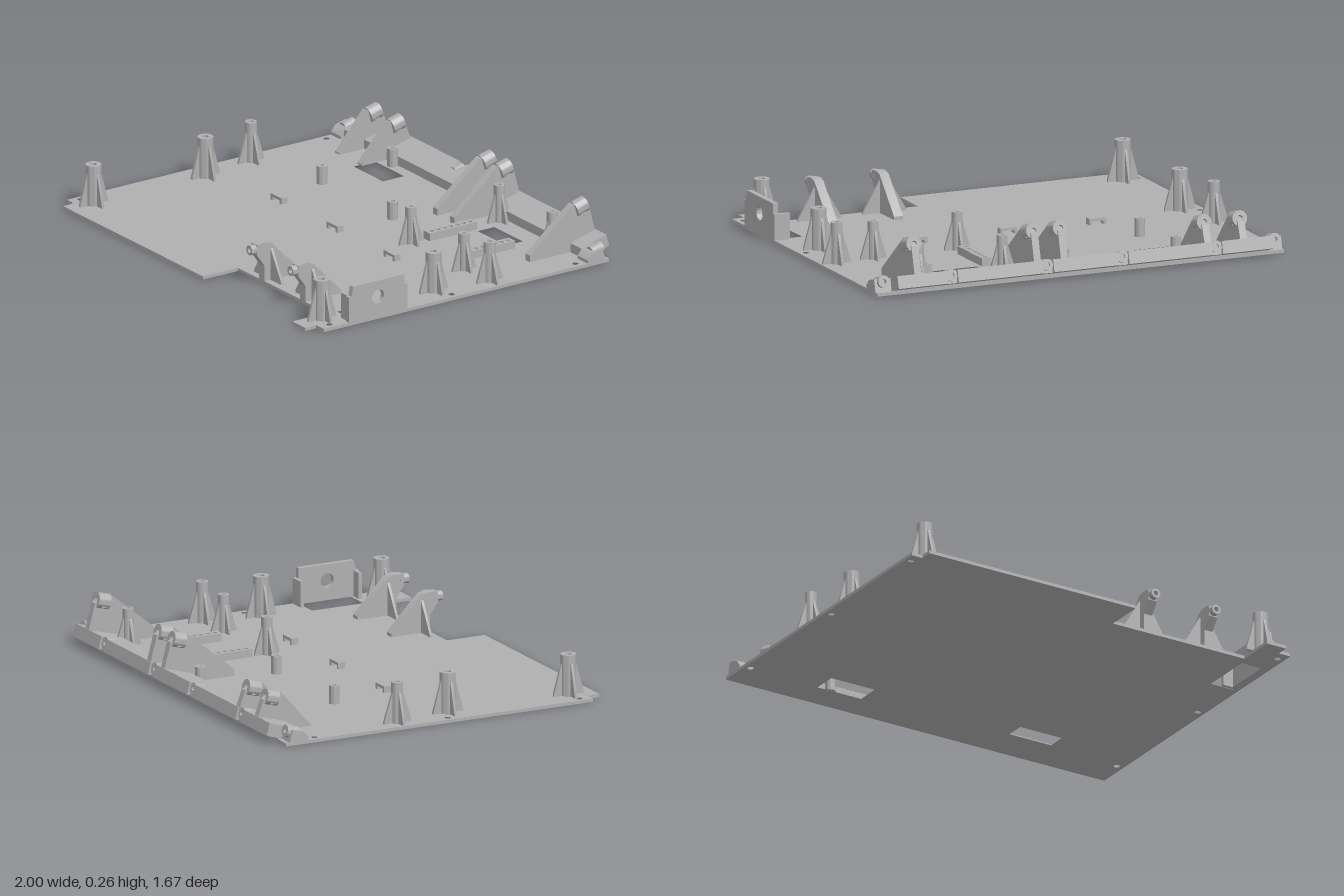
import * as THREE from 'three';
import { toCreasedNormals } from 'three/addons/utils/BufferGeometryUtils.js';

const T = 0.015; // plate thickness
const TILT = 0.26; // lean of the rear rail

export function createModel() {
  const root = new THREE.Group();
  const grey = new THREE.MeshStandardMaterial({ color: 0xb0b0b0 });
  grey.name = 'plain grey';

  const add = (name, geo, parent = root) => {
    const m = new THREE.Mesh(geo, grey);
    m.name = name;
    parent.add(m);
    return m;
  };
  const group = (name, x = 0, y = 0, z = 0) => {
    const g = new THREE.Group();
    g.name = name;
    g.position.set(x, y, z);
    root.add(g);
    return g;
  };
  const box = (name, x0, x1, y0, y1, z0, z1, parent) => {
    const g = new THREE.BoxGeometry(x1 - x0, y1 - y0, z1 - z0);
    g.translate((x0 + x1) / 2, (y0 + y1) / 2, (z0 + z1) / 2);
    return add(name, g, parent);
  };
  const poly = (pts) => new THREE.Shape(pts.map(([a, b]) => new THREE.Vector2(a, b)));
  const circle = (x, y, r) => new THREE.Path().absarc(x, y, r, 0, Math.PI * 2, true);
  const extrude = (shape, depth) => toCreasedNormals(
    new THREE.ExtrudeGeometry(shape, { depth, bevelEnabled: false, curveSegments: 16 }), 0.6);

  // plan outline (x, -z) raised upwards
  const plan = (shape, depth) => extrude(shape, depth).rotateX(-Math.PI / 2);
  // side outline (z, y) spread across x
  const side = (pts, x0, x1, holes = []) => {
    const s = poly(pts.map(([z, y]) => [-z, y]));
    holes.forEach(([z, y, r]) => s.holes.push(circle(-z, y, r)));
    return extrude(s, x1 - x0).rotateY(Math.PI / 2).translate(x0, 0, 0);
  };
  const ring = (r, hole) => {
    const s = new THREE.Shape().absarc(0, 0, r, 0, Math.PI * 2, false);
    s.holes.push(circle(0, 0, hole));
    return s;
  };
  // sleeve lying along z, leaning with the rear rail
  const sleeve = (name, x, y, z, r, hole, len, tilt = TILT) =>
    add(name, extrude(ring(r, hole), len).translate(0, 0, -len / 2).rotateX(tilt).translate(x, y, z));

  // base plate with windows and screw holes
  const plate = poly([[-1, 0.78], [1, 0.78], [1, -0.775], [0.94, -0.775], [0.94, -0.835], [0.84, -0.835],
    [0.84, -0.645], [0.145, -0.645], [0.145, -0.835], [-0.945, -0.835], [-0.945, -0.775], [-1, -0.775]]);
  for (const [x0, x1, z0, z1] of [[-0.61, -0.38, -0.63, -0.515], [0.38, 0.6, -0.59, -0.5], [0.855, 0.975, 0.34, 0.6]]) {
    plate.holes.push(new THREE.Path([[x0, -z0], [x1, -z0], [x1, -z1], [x0, -z1]].map((p) => new THREE.Vector2(...p))));
  }
  for (const x of [-0.97, 0.967]) for (const z of [-0.62, 0.055, 0.722]) plate.holes.push(circle(x, -z, 0.014));
  add('basePlate', plan(plate, T));

  // rear rail, with a lip broken at the fixing sleeves
  add('rearRail', side([[-0.685, 0.01], [-0.685, 0.058], [-0.805, 0.09], [-0.82, 0.034], [-0.78, 0.02], [-0.78, 0.01]], -0.925, 0.92));
  const gaps = [-0.65, -0.19, 0.18, 0.65];
  const stops = [-0.925, ...gaps.flatMap((x) => [x - 0.025, x + 0.025]), 0.92];
  for (let i = 0; i < stops.length; i += 2) {
    add('railLip', side([[-0.805, 0.09], [-0.822, 0.096], [-0.837, 0.04], [-0.82, 0.034]], stops[i], stops[i + 1]));
  }
  gaps.forEach((x) => sleeve('railSleeve', x, 0.066, -0.795, 0.027, 0.011, 0.05));
  for (const [x0, x1] of [[-1, -0.925], [0.92, 1]]) {
    add('railEnd', side([[-0.665, 0.01], [-0.665, 0.03], [-0.69, 0.058], [-0.745, 0.072], [-0.762, 0.01]], x0, x1));
    sleeve('railEndSleeve', (x0 + x1) / 2, 0.055, -0.737, 0.028, 0.011, 0.06);
  }

  // sloping rear brackets with a sleeve at the top
  for (const [x, front, drop] of [[-0.785, -0.55, 0.045], [-0.61, -0.55, 0.045], [0.098, -0.465, 0], [0.23, -0.465, 0], [0.818, -0.465, 0]]) {
    add('rearBracket', side([[front, T], [front, 0.045 - drop / 2], [-0.7, 0.238 - drop], [-0.755, 0.225 - drop],
      [-0.787, 0.213 - drop], [-0.832, 0.045], [-0.78, 0.025], [-0.66, T]], x - 0.017, x + 0.017));
    sleeve('bracketSleeve', x, 0.216 - drop, -0.745, 0.036, 0.014, 0.062);
    box('sleevePad', x - 0.03, x + 0.03, 0.19 - drop, 0.216 - drop, -0.76, -0.725);
  }

  // hollow posts braced by four tapering fins
  const post = (x, z, r, h, reach, finTop) => {
    const g = group('finnedPost', x, T, z);
    add('postTube', plan(ring(r, r * 0.42), h - T), g);
    for (let i = 0; i < 4; i++) {
      const fin = add('postFin', side([[r * 0.8, 0], [reach, 0], [reach, 0.01], [r, finTop], [r * 0.8, finTop]], -0.006, 0.006), g);
      fin.rotation.y = i * Math.PI / 2;
    }
  };
  for (const x of [-0.89, 0.885]) for (const z of [0.097, 0.707]) post(x, z, 0.036, 0.205, 0.075, 0.15);
  for (const x of [-0.93, 0.925]) post(x, -0.18, 0.027, 0.205, 0.068, 0.14);
  for (const x of [0.328, 0.74]) for (const z of [-0.653, -0.17]) post(x, z, 0.025, 0.19, 0.062, 0.13);

  // plain short posts
  for (const x of [-0.52, 0.03]) for (const z of [-0.665, -0.28]) {
    add('shortPost', plan(ring(0.024, 0.01), 0.1 - T).translate(x, T, z));
  }

  // drilled strips
  for (const x of [0.338, 0.63]) {
    const s = poly([[-0.024, -0.13], [0.024, -0.13], [0.024, 0.13], [-0.024, 0.13]]);
    for (let i = -3; i <= 3; i++) s.holes.push(circle(0, i * 0.035, 0.012));
    add('drilledStrip', plan(s, 0.052 - T).translate(x, T, -0.38));
  }

  // small bridge clips
  for (const x of [-0.44, -0.003, 0.44]) {
    const g = group('bridgeClip', x, 0, 0.01);
    box('clipTop', -0.042, 0.042, 0.032, 0.045, -0.017, 0.017, g);
    for (const s of [-1, 1]) box('clipLeg', s * 0.035 - 0.007, s * 0.035 + 0.007, T, 0.035, -0.017, 0.017, g);
  }

  // front brackets: sloping rib, cross web and sleeve
  for (const x of [0.33, 0.65]) {
    add('frontRib', side([[0.45, T], [0.45, 0.03], [0.605, 0.19], [0.64, 0.2], [0.685, 0.195], [0.685, 0.145],
      [0.645, 0.09], [0.645, T]], x - 0.022, x + 0.022));
    const web = poly([[-0.105, T], [0.105, T], [0.105, 0.025], [0.022, 0.165], [-0.022, 0.165], [-0.105, 0.025]]);
    add('frontWeb', extrude(web, 0.012).translate(x, 0, 0.6));
    sleeve('frontSleeve', x, 0.17, 0.69, 0.023, 0.011, 0.045, 0);
  }

  // side wall with round opening and end flanges
  add('sideWall', side([[0.318, T], [0.318, 0.135], [0.335, 0.135], [0.335, 0.182], [0.615, 0.182], [0.625, 0.135],
    [0.638, 0.135], [0.638, T]], 0.975, 1, [[0.48, 0.107, 0.033]]));
  box('wallFlange', 0.925, 0.98, T, 0.135, 0.318, 0.335);
  box('wallFlange', 0.925, 0.98, T, 0.135, 0.613, 0.63);

  return root;
}
